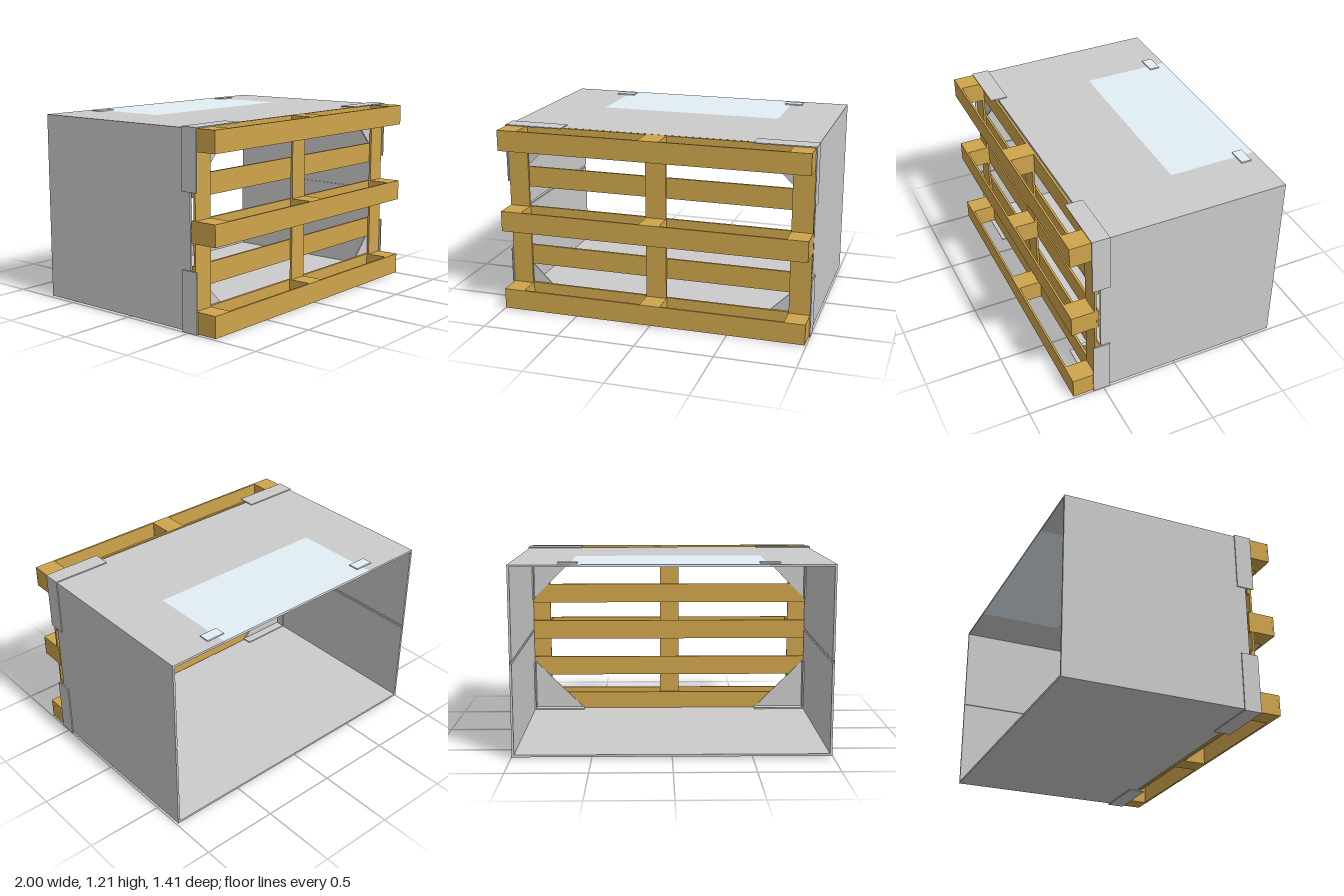
import * as THREE from 'three';

const grey = new THREE.MeshStandardMaterial({ color: 0xcccccc });
const wood = new THREE.MeshStandardMaterial({ color: 0xcfa54c });
const blue = new THREE.MeshStandardMaterial({ color: 0xe2eff6 });

// Box given by its minimum and maximum on each axis
function block(parent, name, material, [x0, x1], [y0, y1], [z0, z1]) {
  const mesh = new THREE.Mesh(new THREE.BoxGeometry(x1 - x0, y1 - y0, z1 - z0), material);
  mesh.position.set((x0 + x1) / 2, (y0 + y1) / 2, (z0 + z1) / 2);
  mesh.name = name;
  parent.add(mesh);
  return mesh;
}

const group = (parent, name) => {
  const g = new THREE.Group();
  g.name = name;
  parent.add(g);
  return g;
};

const MID = 0.605; // mid height of the whole model

// Pallet standing on edge: slats, stringers, blocks and outer runners
function addPallet(model) {
  const pallet = group(model, 'pallet');
  const half = 0.0667;
  const rows = [-2, -1, 0, 1, 2].map(i => MID + i * 0.266);
  const columns = [-0.926, 0, 0.926];
  const span = c => [c - half, c + half];
  const full = [-0.993, 0.993];
  rows.forEach(y => block(pallet, 'deckSlat', wood, full, span(y), [0.525, 0.54]));
  columns.forEach(x => block(pallet, 'stringer', wood, span(x), [rows[0] - half, rows[4] + half], [0.54, 0.554]));
  [0, 2, 4].forEach(r => {
    columns.forEach(x => block(pallet, 'spacerBlock', wood, span(x), span(rows[r]), [0.554, 0.69]));
    block(pallet, 'runner', wood, full, span(rows[r]), [0.69, 0.703]);
  });
}

// Sleeve: four thin walls, open at the front and back
function addSleeve(model) {
  const sleeve = group(model, 'sleeve');
  const z = [-0.703, 0.515], bottom = 0.01, top = 1.202, t = 0.014;
  const x = 0.993;
  block(sleeve, 'floorPanel', grey, [-x, x], [bottom, bottom + t], z);

  // Roof panel around the window flap
  const wx0 = -0.585, wx1 = 0.62, wz = -0.13;
  const roofY = [top - t, top];
  block(sleeve, 'roofFront', grey, [-x, x], roofY, [wz, z[1]]);
  block(sleeve, 'roofRightStrip', grey, [-x, wx0], roofY, [z[0], wz]);
  block(sleeve, 'roofLeftStrip', grey, [wx1, x], roofY, [z[0], wz]);
  block(sleeve, 'windowFlap', blue, [wx0, wx1], roofY, [z[0], wz]);
  [[-0.66, -0.535], [0.575, 0.695]].forEach(cx =>
    block(sleeve, 'flapLatch', blue, cx, [top - 0.002, 1.21], [-0.645, -0.577]));

  // Side walls: outer skin plus two inner panels leaving a fold groove
  for (const s of [-1, 1]) {
    const span = (a, b) => (s > 0 ? [a, b] : [-b, -a]);
    block(sleeve, 'sideSkin', grey, span(x - 0.006, x), [bottom + t, top - t], z);
    const inner = span(x - t, x - 0.006);
    block(sleeve, 'lowerSidePanel', grey, inner, [bottom + t, MID - 0.009], z);
    block(sleeve, 'upperSidePanel', grey, inner, [MID + 0.009, top - t], z);
  }
}

// Corner bracket: outer flanges, inner flanges and a triangular gusset
function addBrackets(model) {
  const gussetShape = new THREE.Shape([
    new THREE.Vector2(0.62, 0.597), new THREE.Vector2(0.62, 0.585),
    new THREE.Vector2(0.979, 0.226), new THREE.Vector2(0.993, 0.226),
    new THREE.Vector2(0.993, 0.597),
  ]);
  for (const sx of [-1, 1]) for (const sy of [-1, 1]) {
    const bracket = group(model, 'cornerBracket');
    const xs = (a, b) => (sx > 0 ? [a, b] : [-b, -a]);
    const ys = (a, b) => (sy > 0 ? [MID + a, MID + b] : [MID - b, MID - a]);
    const outer = [0.455, 0.568], inner = [0.455, 0.516];
    block(bracket, 'outerFlatFlange', grey, xs(0.62, 1), ys(0.598, 0.605), outer);
    block(bracket, 'outerSideFlange', grey, xs(0.993, 1), ys(0.23, 0.605), outer);
    block(bracket, 'innerFlatFlange', grey, xs(0.62, 0.979), ys(0.572, 0.58), inner);
    block(bracket, 'innerSideFlange', grey, xs(0.97, 0.979), ys(0.23, 0.58), inner);

    // Mirror the outline itself so that the faces keep their direction
    const shape = new THREE.Shape(gussetShape.getPoints().map(p => new THREE.Vector2(p.x * sx, p.y * sy)));
    const geometry = new THREE.ExtrudeGeometry(shape, { depth: 0.008, bevelEnabled: false });
    const gusset = new THREE.Mesh(geometry, grey);
    gusset.name = 'gusset';
    gusset.position.set(0, MID, 0.516);
    bracket.add(gusset);
  }
}

export function createModel() {
  const model = new THREE.Group();
  model.name = 'palletSleeveBox';
  addPallet(model);
  addSleeve(model);
  addBrackets(model);
  return model;
}
